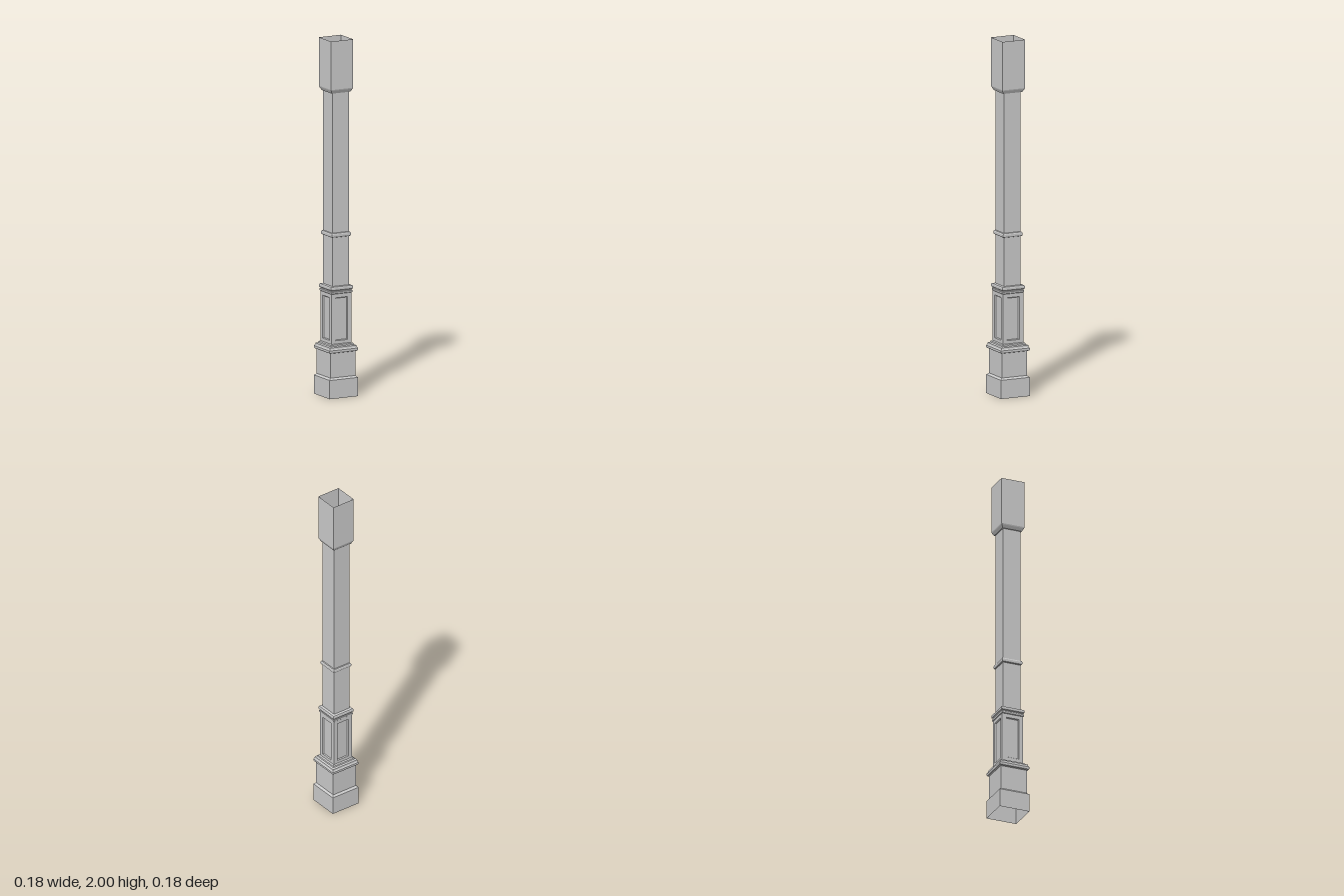
import * as THREE from 'three';

const material = new THREE.MeshStandardMaterial({
  color: 0xcccccc, flatShading: true, side: THREE.DoubleSide,
});

// Half widths of the main sections
const SHAFT = 0.052, PEDESTAL = 0.063, PLINTH = 0.078, BASE = 0.089, HEAD = 0.069;

// Open square tube swept from [half width, height] pairs, bottom to top
function squareTube(name, profile) {
  const points = profile.map(([half, y]) => new THREE.Vector2(half * Math.SQRT2, y));
  const mesh = new THREE.Mesh(new THREE.LatheGeometry(points, 4, Math.PI / 4), material);
  mesh.name = name;
  return mesh;
}

const rectangle = (w, y0, y1) => [[-w, y0], [w, y0], [w, y1], [-w, y1]]
  .map(([x, y]) => new THREE.Vector2(x, y));

// Sloped strip joining two rectangles at different depths
function reveal(outer, zOuter, inner, zInner) {
  const positions = [], index = [];
  outer.forEach((p, i) => {
    positions.push(p.x, p.y, zOuter, inner[i].x, inner[i].y, zInner);
    const a = i * 2, b = ((i + 1) % 4) * 2;
    index.push(a, b, b + 1, a, b + 1, a + 1);
  });
  const geometry = new THREE.BufferGeometry();
  geometry.setAttribute('position', new THREE.Float32BufferAttribute(positions, 3));
  geometry.setIndex(index);
  geometry.computeVertexNormals();
  return geometry;
}

// One pedestal side: flat frame, sloped reveal and recessed panel
function panelSide(y0, y1) {
  const side = new THREE.Group();
  const opening = rectangle(0.038, 0.318, 0.559);
  const field = rectangle(0.034, 0.322, 0.555);
  const depth = PEDESTAL - 0.006;

  const frameShape = new THREE.Shape(rectangle(PEDESTAL, y0, y1));
  frameShape.holes.push(new THREE.Path(opening));
  const frame = new THREE.Mesh(new THREE.ShapeGeometry(frameShape), material);
  frame.position.z = PEDESTAL;
  frame.name = 'panelFrame';

  const edge = new THREE.Mesh(reveal(opening, PEDESTAL, field, depth), material);
  edge.name = 'panelReveal';

  const panel = new THREE.Mesh(new THREE.ShapeGeometry(new THREE.Shape(field)), material);
  panel.position.z = depth;
  panel.name = 'recessedPanel';

  side.add(frame, edge, panel);
  return side;
}

export function createModel() {
  const column = new THREE.Group();
  column.name = 'column';

  column.add(
    squareTube('base', [[BASE, 0], [BASE, 0.105], [0.084, 0.109], [PLINTH, 0.115]]),
    squareTube('plinth', [[PLINTH, 0.115], [PLINTH, 0.252]]),
    squareTube('plinthMoulding', [
      [PLINTH, 0.252], [0.086, 0.255], [0.089, 0.26], [0.089, 0.27],
      [0.084, 0.276], [0.083, 0.285], [0.073, 0.289], [0.071, 0.296], [PEDESTAL, 0.3],
    ]),
    squareTube('pedestalMoulding', [
      [PEDESTAL, 0.58], [0.066, 0.583], [0.066, 0.592], [0.063, 0.595],
      [0.063, 0.599], [0.069, 0.603], [0.069, 0.615], [0.066, 0.62], [SHAFT, 0.622],
    ]),
    squareTube('lowerShaft', [[SHAFT, 0.622], [SHAFT, 0.895]]),
    squareTube('shaftRing', [
      [SHAFT, 0.895], [0.057, 0.897], [0.06, 0.902], [0.06, 0.913], [0.057, 0.919], [SHAFT, 0.921],
    ]),
    squareTube('upperShaft', [[SHAFT, 0.921], [SHAFT, 1.705]]),
    squareTube('headBlock', [
      [SHAFT, 1.705], [0.058, 1.705], [0.067, 1.722], [HEAD, 1.728], [HEAD, 2],
    ]),
  );

  // Four panelled pedestal sides
  for (let i = 0; i < 4; i++) {
    const side = panelSide(0.3, 0.58);
    side.name = ['front', 'left', 'back', 'right'][i] + 'PedestalSide';
    side.rotation.y = i * Math.PI / 2;
    column.add(side);
  }
  return column;
}
